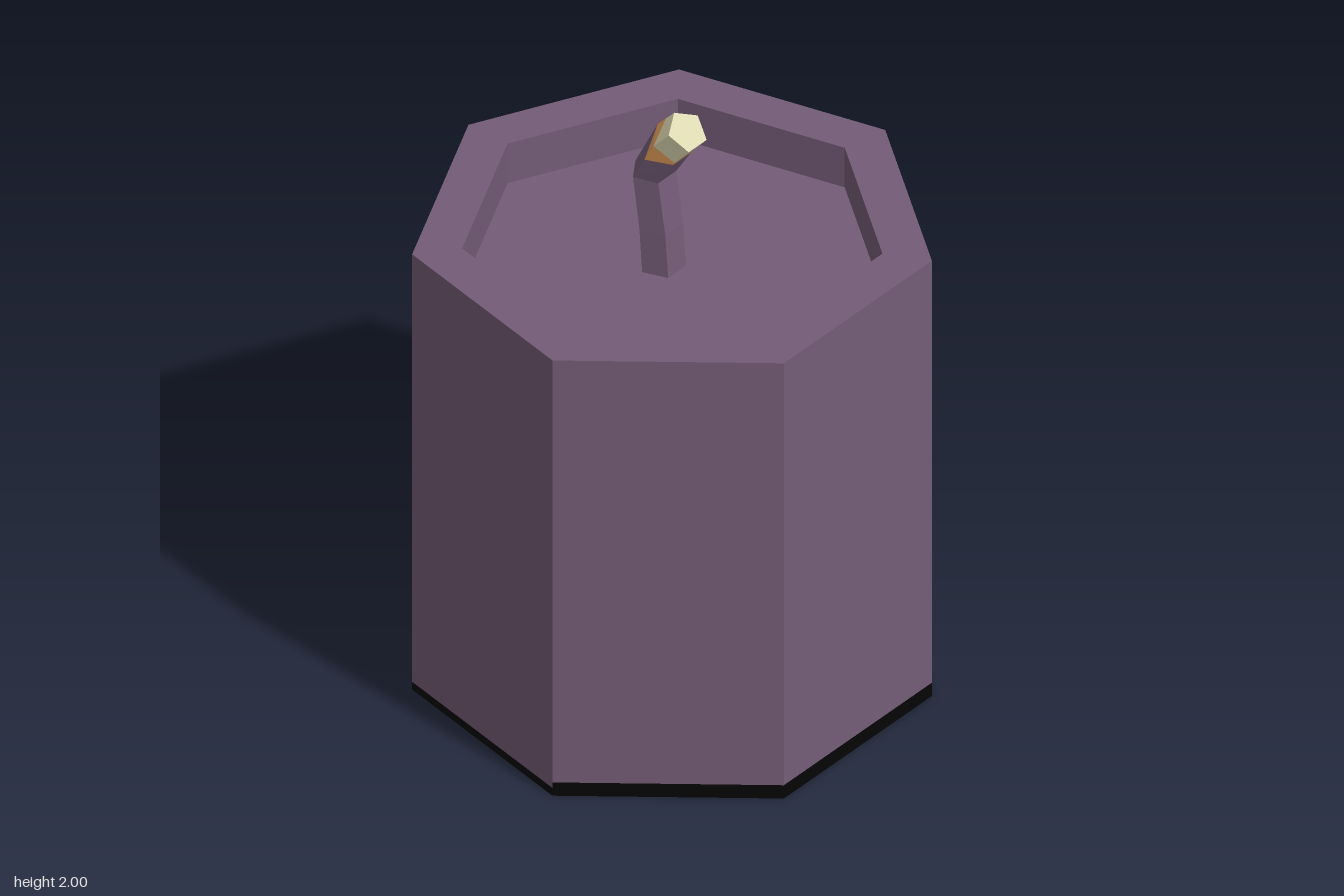
import * as THREE from 'three';

const V = (x, y, z) => new THREE.Vector3(x, y, z);
const mat = (name, color) => {
  const m = new THREE.MeshStandardMaterial({ color });
  m.name = name;
  return m;
};

// Two triangles between edge a-b of a lower ring and c-d of the next ring
const quad = (out, a, b, c, d) => out.push(b, a, c, b, c, d);

// Faceted skin through a list of rings with equal point counts
function loft(rings) {
  const out = [];
  for (let i = 0; i + 1 < rings.length; i++) {
    const lo = rings[i], hi = rings[i + 1], n = lo.length;
    for (let k = 0; k < n; k++) quad(out, lo[k], lo[(k + 1) % n], hi[k], hi[(k + 1) % n]);
  }
  return out;
}

// Flat fan over a ring, facing up the loft or back down it
function cap(ring, up) {
  const out = [];
  for (let k = 1; k + 1 < ring.length; k++) {
    if (up) out.push(ring[0], ring[k + 1], ring[k]);
    else out.push(ring[0], ring[k], ring[k + 1]);
  }
  return out;
}

function mesh(name, points, material) {
  const geometry = new THREE.BufferGeometry().setFromPoints(points);
  geometry.computeVertexNormals();
  const m = new THREE.Mesh(geometry, material);
  m.name = name;
  return m;
}

// Seven-sided ring with one corner to the back; y may vary per corner
function bodyRing(radius, y) {
  return Array.from({ length: 7 }, (_, k) => {
    const a = (k / 7) * Math.PI * 2;
    return V(radius * Math.sin(a), y, 0.037 - radius * Math.cos(a));
  });
}

// Five-sided wick ring from its back ridge point and its front flat point
function wickRing([backZ, backY], [frontZ, frontY]) {
  return Array.from({ length: 5 }, (_, k) => {
    const a = (k / 5) * Math.PI * 2;
    const f = (1 - Math.cos(a)) / 1.809;
    return V(-0.028 + 0.0705 * Math.sin(a),
      THREE.MathUtils.lerp(backY, frontY, f), THREE.MathUtils.lerp(backZ, frontZ, f));
  });
}

// Ring part of the way between two rings, by an amount for each corner
const between = (r0, r1, t) => r0.map((p, k) => p.clone().lerp(r1[k], t[k]));

export function createModel() {
  const wax = mat('purple wax', 0x745c77);
  const soot = mat('black base', 0x050505);
  const ember = mat('orange ember', 0xe09c58);
  const tipColor = mat('cream tip', 0xdcd8b0);
  const model = new THREE.Group();
  model.name = 'candle';

  // Body walls and the dark band along the bottom, one facet at a time
  const R = 0.787, TOP = 1.573, FLOOR = 1.43;
  const bottom = bodyRing(R, 0), top = bodyRing(R, TOP);
  const walls = [], band = [];
  for (let k = 0; k < 7; k++) {
    const n = (k + 1) % 7;
    const h = k === 3 || k === 4 ? 0.048 : 0.028;
    const a = bottom[k].clone().setY(h), b = bottom[n].clone().setY(h);
    quad(band, bottom[k], bottom[n], a, b);
    quad(walls, a, b, top[k], top[n]);
  }
  model.add(mesh('bodyWalls', walls, wax));
  model.add(mesh('base', [...band, ...cap(bottom, false)], soot));

  // Rim, recess wall and recess floor
  const rimInner = bodyRing(0.6365, TOP), floor = bodyRing(0.6365, FLOOR);
  model.add(mesh('rimAndRecess', [...loft([top, rimInner, floor]), ...cap(floor, true)], wax));

  // Bent wick: floor, slight curve, bend, neck and tip
  const foot = wickRing([-0.052, FLOOR], [0.075, FLOOR]);
  const stem = wickRing([-0.062, 1.58], [0.064, 1.58]);
  const bend = wickRing([-0.085, 1.76], [0.037, 1.755]);
  const neck = wickRing([0.0, 1.93], [0.1, 1.857]);
  const end = wickRing([0.064, 2.0], [0.154, 1.92]);

  // Slanted colour borders, ordered ridge, side, front, front, side
  const emberStart = between(bend, neck, [1, 0.57, 0.9, 0.9, 0.57]);
  const emberEnd = between(neck, end, [0.5, 0.03, 0, 0, 0.03]);
  const wick = new THREE.Group();
  wick.name = 'wick';
  wick.add(
    mesh('wickStem', loft([foot, stem, bend, emberStart]), wax),
    mesh('wickEmber', loft([emberStart, neck, emberEnd]), ember),
    mesh('wickTip', [...loft([emberEnd, end]), ...cap(end, true)], tipColor),
  );
  model.add(wick);
  return model;
}
